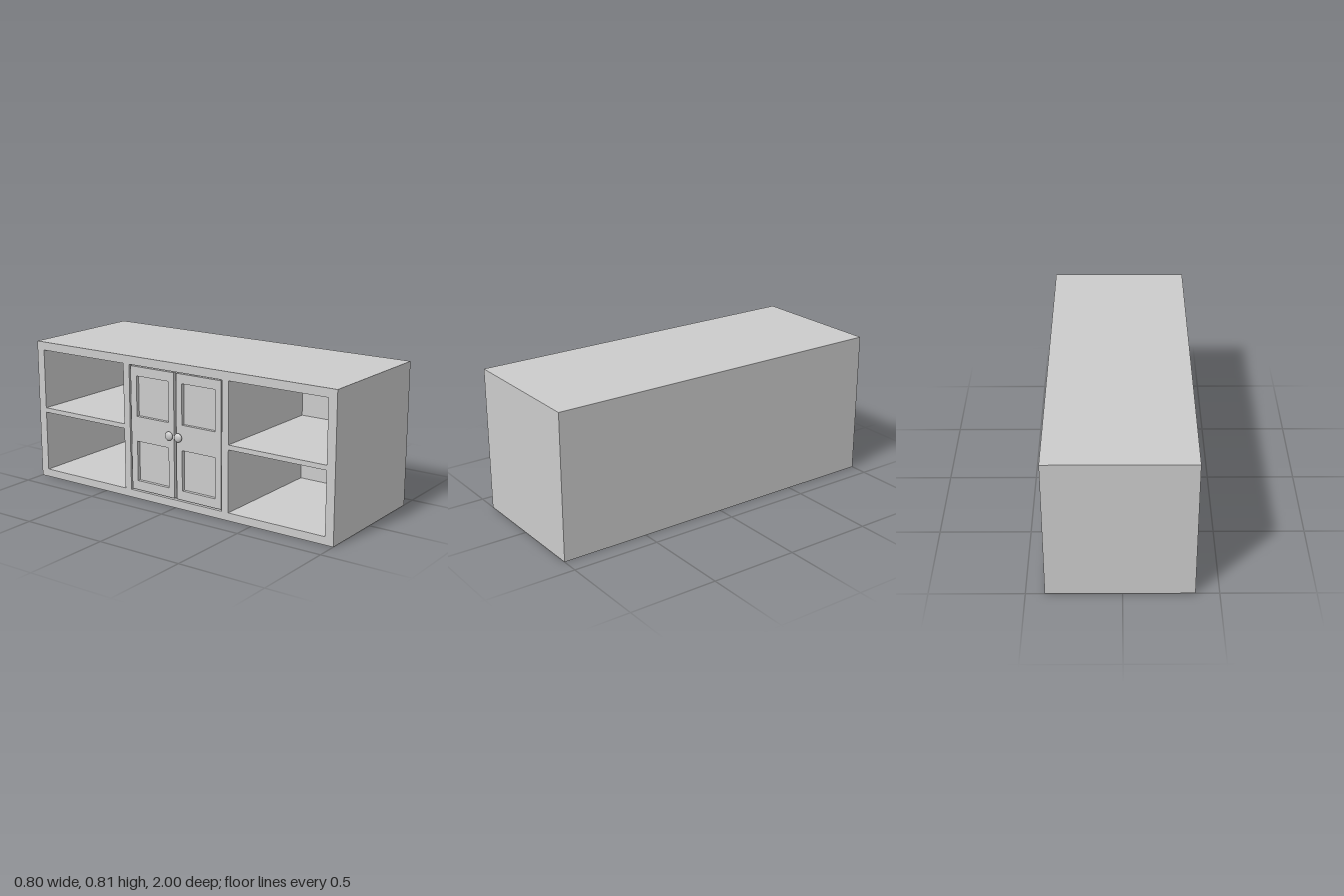
import * as THREE from 'three';

const H = 0.815, FRONT = -0.375, BACK = 0.4, BACK_T = 0.04;
const BOTTOM = 0.045, TOP = 0.767;
const material = new THREE.MeshStandardMaterial({ color: 0xcccccc });

function add(parent, name, geometry, x = 0, y = 0, z = 0) {
  const mesh = new THREE.Mesh(geometry, material);
  mesh.name = name;
  mesh.position.set(x, y, z);
  parent.add(mesh);
  return mesh;
}

// Traces a rectangle in the (z, y) plane
function rect(path, z0, z1, y0, y1) {
  path.moveTo(z0, y0);
  path.lineTo(z1, y0);
  path.lineTo(z1, y1);
  path.lineTo(z0, y1);
  path.closePath();
  return path;
}

// Rectangular board with rectangular holes, extruded along +x
function piercedBoard(outline, holes, depth) {
  const shape = rect(new THREE.Shape(), ...outline);
  for (const hole of holes) shape.holes.push(rect(new THREE.Path(), ...hole));
  const geometry = new THREE.ExtrudeGeometry(shape, { depth, bevelEnabled: false });
  // the layouts are symmetric in z or mirrored by the caller
  return geometry.rotateY(Math.PI / 2);
}

export function createModel() {
  const model = new THREE.Group();
  model.name = 'sideboard';

  // Carcass with four open bays and a central door opening
  const openings = [[-0.312, 0.312, BOTTOM, TOP]];
  for (const [z0, z1] of [[-0.95, -0.354], [0.354, 0.95]]) {
    openings.push([z0, z1, BOTTOM, 0.395], [z0, z1, 0.422, TOP]);
  }
  const depth = BACK - BACK_T - FRONT;
  add(model, 'carcass', piercedBoard([-1, 1, 0, H], openings, depth), FRONT);
  add(model, 'backPanel', new THREE.BoxGeometry(BACK_T, H, 2), BACK - BACK_T / 2, H / 2);

  // Two inset doors, each with two sunken panels and a knob
  for (const side of [-1, 1]) {
    const door = new THREE.Group();
    door.name = side < 0 ? 'rightDoor' : 'leftDoor';
    model.add(door);

    const span = (a, b) => (side < 0 ? [a, b] : [-b, -a]);
    const frame = piercedBoard(
      [...span(0.008, 0.305), BOTTOM + 0.007, TOP - 0.007],
      [[...span(0.046, 0.265), 0.105, 0.335], [...span(0.046, 0.265), 0.478, 0.707]],
      0.02
    );
    add(door, 'doorFrame', frame, FRONT + 0.004);
    add(door, 'doorPanel', new THREE.BoxGeometry(0.02, TOP - BOTTOM, 0.312),
      FRONT + 0.034, (TOP + BOTTOM) / 2, side * 0.156);

    const stem = new THREE.CylinderGeometry(0.008, 0.008, 0.016, 16).rotateZ(Math.PI / 2);
    add(door, 'knobStem', stem, FRONT, 0.408, side * 0.031);
    const knob = add(door, 'knob', new THREE.SphereGeometry(1, 24, 16),
      FRONT - 0.012, 0.408, side * 0.031);
    knob.scale.set(0.0135, 0.025, 0.025);
  }
  return model;
}
